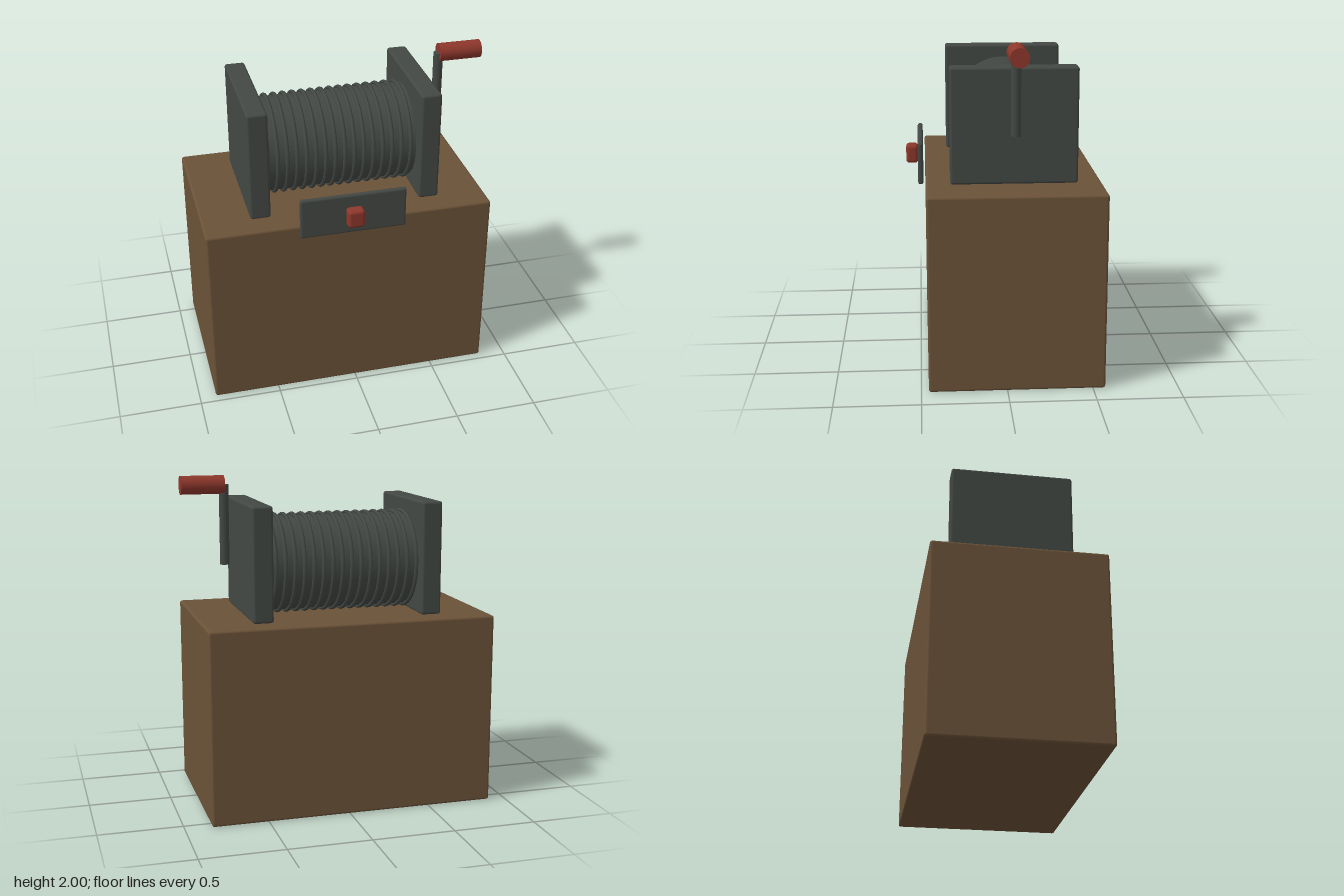
import * as THREE from 'three';
import { RoundedBoxGeometry } from 'three/addons/geometries/RoundedBoxGeometry.js';

const wood = new THREE.MeshStandardMaterial({ color: 0x6b5238 });
const iron = new THREE.MeshStandardMaterial({ color: 0x434844 });
const red = new THREE.MeshStandardMaterial({ color: 0x8e372b });

// Shared centre lines: middle of the base and axle of the drum
const CX = -0.03, CZ = -0.058, AXLE_Y = 1.465;

export function createModel() {
  const model = new THREE.Group();
  model.name = 'winch';

  const add = (name, geometry, material, x, y, z, parent = model) => {
    const mesh = new THREE.Mesh(geometry, material);
    mesh.name = name;
    mesh.position.set(x, y, z);
    parent.add(mesh);
    return mesh;
  };
  const box = (w, h, d, r) => new RoundedBoxGeometry(w, h, d, 3, r);

  // Wooden base block
  add('base', box(1.74, 1.165, 1.03, 0.015), wood, CX, 0.5825, CZ);

  // Two upright cheeks holding the drum
  for (const side of [-1, 1]) {
    add(side < 0 ? 'rightCheek' : 'leftCheek', box(0.123, 0.682, 0.745, 0.015), iron,
      CX + side * 0.518, 1.505, CZ);
  }

  // Drum lying along x
  const drum = add('drum', new THREE.CylinderGeometry(0.288, 0.288, 0.95, 20), iron, CX, AXLE_Y, CZ);
  drum.rotation.z = Math.PI / 2;

  // Cable wound round the drum, one ring per turn
  const cable = new THREE.Group();
  cable.name = 'cable';
  model.add(cable);
  const turn = new THREE.TorusGeometry(0.293, 0.0125, 8, 40);
  for (let i = 0; i < 16; i++) {
    add('cableTurn', turn, iron, -0.478 + i * 0.058, AXLE_Y, CZ, cable).rotation.y = Math.PI / 2;
  }

  // Crank arm and its grip
  add('crankArm', new THREE.CylinderGeometry(0.029, 0.029, 0.478, 16), iron, 0.64, 1.706, CZ);
  const grip = add('crankGrip', new THREE.CylinderGeometry(0.055, 0.055, 0.26, 20), red, 0.77, 1.945, CZ);
  grip.rotation.z = Math.PI / 2;

  // Front plate with a push button
  add('frontPlate', box(0.64, 0.255, 0.032, 0.014), iron, CX, 1.2325, 0.485);
  add('button', box(0.102, 0.114, 0.073, 0.02), red, CX, 1.2325, 0.537);

  return model;
}
